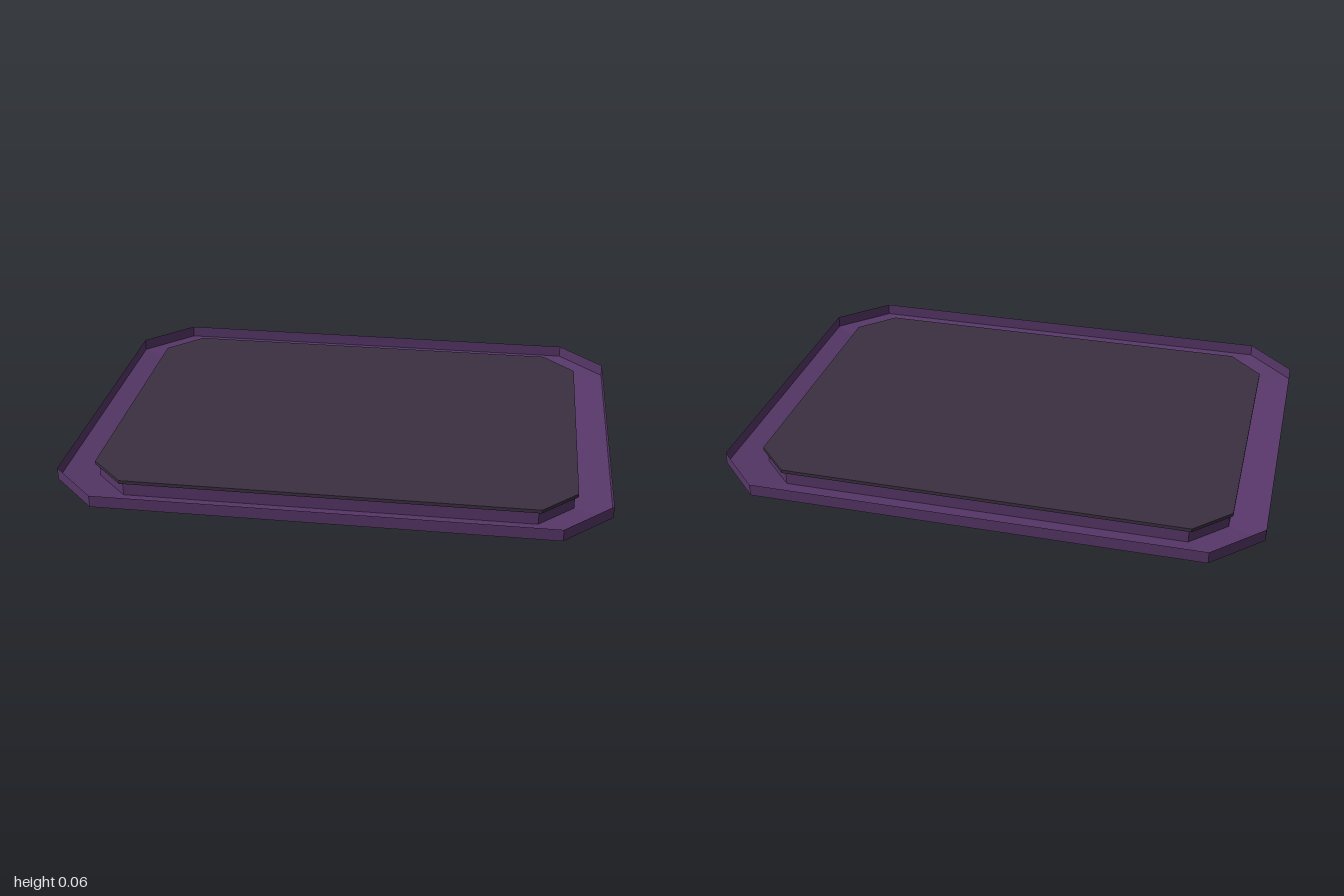
import * as THREE from 'three';

// Eight corners of a rectangle with cut corners: half sizes and where the cuts start
function octagon({ x, z, cx, cz }) {
  return [[x, -cz], [x, cz], [cx, z], [-cx, z], [-x, cz], [-x, -cz], [-cx, -z], [cx, -z]];
}

// Band of flat faces joining an upper octagon to a lower one
function band(a, ya, b, yb) {
  const A = octagon(a), B = octagon(b), pos = [];
  for (let i = 0; i < 8; i++) {
    const j = (i + 1) % 8;
    const ai = [A[i][0], ya, A[i][1]], aj = [A[j][0], ya, A[j][1]];
    const bi = [B[i][0], yb, B[i][1]], bj = [B[j][0], yb, B[j][1]];
    pos.push(...bi, ...ai, ...bj, ...ai, ...aj, ...bj);
  }
  const g = new THREE.BufferGeometry();
  g.setAttribute('position', new THREE.Float32BufferAttribute(pos, 3));
  g.computeVertexNormals();
  return g;
}

export function createModel() {
  const purple = new THREE.MeshStandardMaterial({ color: 0x573769, side: THREE.DoubleSide });
  purple.name = 'purple';
  const charcoal = new THREE.MeshStandardMaterial({ color: 0x3a3040 });
  charcoal.name = 'charcoal';

  const group = new THREE.Group();
  group.name = 'tray';
  const add = (name, geometry, material) => {
    const mesh = new THREE.Mesh(geometry, material);
    mesh.name = name;
    group.add(mesh);
  };

  const outer = { x: 1, z: 0.757, cx: 0.825, cz: 0.582 };
  const inner = { x: 0.868, z: 0.628, cx: 0.742, cz: 0.502 };
  const plate = { x: 0.88, z: 0.64, cx: 0.752, cz: 0.512 };

  // Thin sheet: outer wall, sloping trough and the wall that carries the panel
  add('outerWall', band(outer, 0.065, outer, 0.02), purple);
  add('troughFloor', band(outer, 0.02, inner, 0), purple);
  add('innerWall', band(inner, 0, inner, 0.052), purple);

  // Dark panel level with the top of the outer wall
  const shape = new THREE.Shape(octagon(plate).map(([x, z]) => new THREE.Vector2(x, z)));
  const panel = new THREE.ExtrudeGeometry(shape, { depth: 0.013, bevelEnabled: false });
  panel.rotateX(-Math.PI / 2).translate(0, 0.052, 0);
  add('centrePanel', panel, charcoal);

  return group;
}
